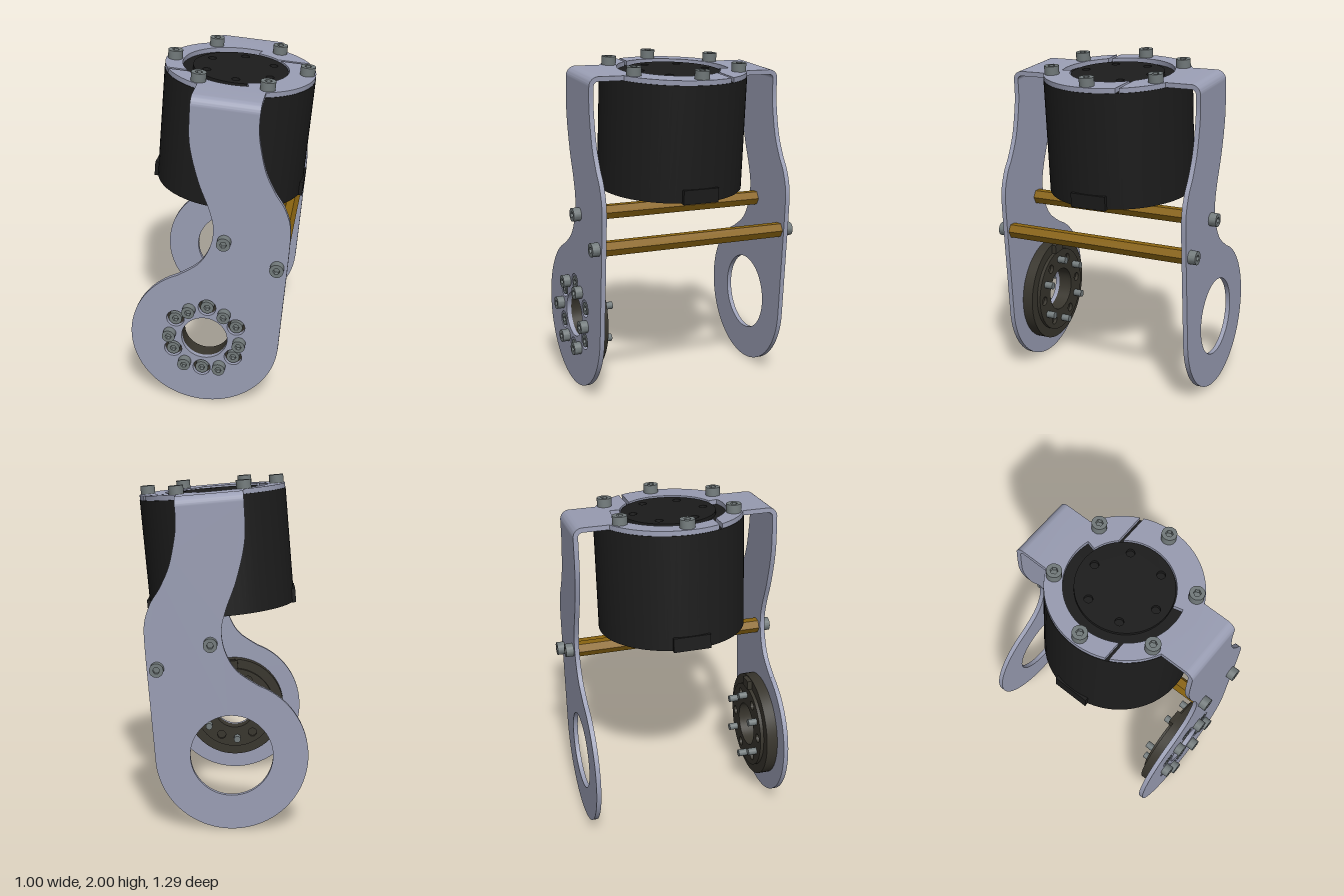
import * as THREE from 'three';
import { toCreasedNormals } from 'three/addons/utils/BufferGeometryUtils.js';

const mat = (color) => new THREE.MeshStandardMaterial({ color });
const metal = mat(0x9a9eb4), steel = mat(0x737b7c), black = mat(0x1c1c1c);
const hornDark = mat(0x38352d), brass = mat(0x8a6410);
const rad = THREE.MathUtils.degToRad;
const T = 0.028; // sheet thickness
const hub = [-0.07, 0.435];

function mesh(name, geometry, material, parent) {
  const m = new THREE.Mesh(geometry, material);
  m.name = name;
  parent.add(m);
  return m;
}

function extrude(shape, depth, curveSegments = 32) {
  const g = new THREE.ExtrudeGeometry(shape, { depth, bevelEnabled: false, curveSegments });
  return toCreasedNormals(g, 0.5);
}

function circle(r, x = 0, y = 0, Type = THREE.Path) {
  const p = new Type();
  p.absarc(x, y, r, 0, Math.PI * 2, false);
  return p;
}

const disc = (r, ...holes) => {
  const s = circle(r, 0, 0, THREE.Shape);
  s.holes.push(...holes);
  return s;
};

const polar = (r, deg) => [r * Math.cos(rad(deg)), r * Math.sin(rad(deg))];
const points = (list) => list.map(([x, y]) => new THREE.Vector2(x, y));

// Socket-head screw: base at z = 0, head towards +z, optional shank towards -z
function screw(name, parent, r, h, shank = 0) {
  const g = new THREE.Group();
  g.name = name;
  const hex = new THREE.Path(points([0, 1, 2, 3, 4, 5].map((i) => polar(r * 0.5, i * 60))));
  mesh('screwHead', extrude(disc(r, hex), h, 12), steel, g);
  const core = mesh('socketFloor', new THREE.CylinderGeometry(r * 0.6, r * 0.6, h * 0.45, 16), steel, g);
  core.rotation.x = Math.PI / 2;
  core.position.z = h * 0.225;
  if (shank) {
    const s = mesh('screwShank', new THREE.CylinderGeometry(0.022, 0.022, shank, 16), steel, g);
    s.rotation.x = Math.PI / 2;
    s.position.z = -shank / 2;
  }
  parent.add(g);
  return g;
}

// Curved side arm ending in a round hub
function armShape(holes) {
  const s = new THREE.Shape();
  s.moveTo(-0.134, 1.872);
  s.splineThru(points([[-0.139, 1.66], [-0.095, 1.444], [-0.035, 1.27], [-0.012, 1.15],
    [-0.035, 1.03], [-0.1, 0.925], [-0.219, 0.844]]));
  s.absarc(...hub, 0.435, rad(110), rad(357), false);
  s.lineTo(0.413, 1.0);
  s.splineThru(points([[0.42, 1.18], [0.387, 1.3], [0.333, 1.39], [0.28, 1.51],
    [0.249, 1.656], [0.24, 1.75], [0.244, 1.839]]));
  s.holes.push(...holes);
  return s;
}

// Half of the split top ring, with a stepped inner edge
function ringHalf(steps, from, to) {
  const s = new THREE.Shape();
  s.absarc(0, 0, 0.435, rad(from), rad(to), false);
  for (const [r, a, b] of steps) s.absarc(0, 0, r, rad(a), rad(b), true);
  s.closePath();
  return s;
}

export function createModel() {
  const root = new THREE.Group();
  root.name = 'jointBracket';

  // Side arms
  const boltAngles = [0, 1, 2, 3, 4, 5].map((i) => 85 + i * 60);
  const at = (r, a) => { const [x, y] = polar(r, a); return [hub[0] + x, hub[1] + y]; };
  const frontHoles = [circle(0.135, ...hub), ...boltAngles.map((a) => circle(0.052, ...at(0.207, a)))];
  mesh('frontArm', extrude(armShape(frontHoles), T), metal, root).position.z = 0.6 - T;
  mesh('backArm', extrude(armShape([circle(0.235, ...hub)]), T), metal, root).position.z = -0.6;

  // Horn on the inside of the front arm
  const horn = new THREE.Group();
  horn.name = 'horn';
  horn.position.set(...hub, 0);
  root.add(horn);
  const wide = disc(0.325, circle(0.135), ...boltAngles.map((a) => circle(0.052, ...polar(0.207, a))));
  const narrow = disc(0.265, circle(0.135), ...boltAngles.map((a) => circle(0.028, ...polar(0.207, a + 30))));
  mesh('hornFlange', extrude(wide, 0.067), hornDark, horn).position.z = 0.505;
  mesh('hornFace', extrude(narrow, 0.022), hornDark, horn).position.z = 0.484;
  const key = mesh('hornKey', new THREE.BoxGeometry(0.055, 0.09, 0.034), hornDark, horn);
  key.position.set(...polar(0.292, 85), 0.493);
  key.rotation.z = rad(85);
  for (const a of boltAngles) {
    screw('recessedScrew', horn, 0.038, 0.045, 0.125).position.set(...polar(0.207, a), 0.555);
    screw('hornScrew', horn, 0.038, 0.045).position.set(...polar(0.207, a + 30), 0.6);
  }

  // Hexagonal spacer rods with a screw at each end
  for (const [x, y] of [[0.05, 1.08], [0.35, 0.937]]) {
    const hex = new THREE.Shape(points([0, 1, 2, 3, 4, 5].map((i) => polar(0.046, i * 60))));
    mesh('spacerRod', extrude(hex, 1.144), brass, root).position.set(x, y, -0.572);
    screw('rodScrew', root, 0.04, 0.046).position.set(x, y, 0.6);
    const back = screw('rodScrew', root, 0.04, 0.046);
    back.position.set(x, y, -0.6);
    back.rotation.y = Math.PI;
  }

  // Tilted upper assembly; its origin is the top of the ring
  const top = new THREE.Group();
  top.name = 'upperAssembly';
  top.position.set(0.06, 1.91, 0);
  top.rotation.z = rad(-5);
  root.add(top);

  // Flat parts are drawn in a plane turned to face up
  const flat = new THREE.Group();
  flat.name = 'topPlate';
  flat.rotation.x = -Math.PI / 2;
  top.add(flat);
  const halves = [
    ringHalf([[0.335, 212.5, 75], [0.28, 75, 45.6]], 27.4, 204.4),
    ringHalf([[0.28, 400, 285], [0.335, 285, 216.7]], 207.4, 384.4),
  ];
  for (const h of halves) mesh('ringHalf', extrude(h, T), metal, flat).position.z = -T;
  for (let i = 0; i < 6; i++) screw('ringScrew', flat, 0.043, 0.05).position.set(...polar(0.385, i * 60), 0);
  const pins = [0, 1, 2, 3, 4, 5].map((i) => circle(0.024, ...polar(0.21, 30 + i * 60)));
  mesh('motorFace', extrude(disc(0.275, ...pins), 0.022), black, flat).position.z = -T - 0.002;

  // Bridges with a rounded bend joining the ring to the arms
  for (const side of [1, -1]) {
    const s = new THREE.Shape();
    s.moveTo(0.385, 0);
    s.lineTo(0.545, 0);
    s.absarc(0.545, -0.055, 0.055, Math.PI / 2, 0, true);
    s.lineTo(0.6, -0.057);
    s.lineTo(0.6 - T, -0.057);
    s.absarc(0.545, -0.055, 0.055 - T, 0, Math.PI / 2, false);
    s.lineTo(0.385, -T);
    const b = mesh('bridge', extrude(s, 0.38, 10), metal, top);
    b.rotation.y = -side * Math.PI / 2;
    b.position.x = side * 0.19;
  }

  // Motor body with a small connector cover on each side
  const body = mesh('motorBody', new THREE.CylinderGeometry(0.437, 0.437, 0.677, 72), black, top);
  body.position.y = -0.0285 - 0.677 / 2;
  for (const side of [1, -1]) {
    const cover = mesh('connectorCover', new THREE.BoxGeometry(0.05, 0.085, 0.22), black, top);
    cover.position.set(side * 0.42, -0.667, 0);
  }
  return root;
}
